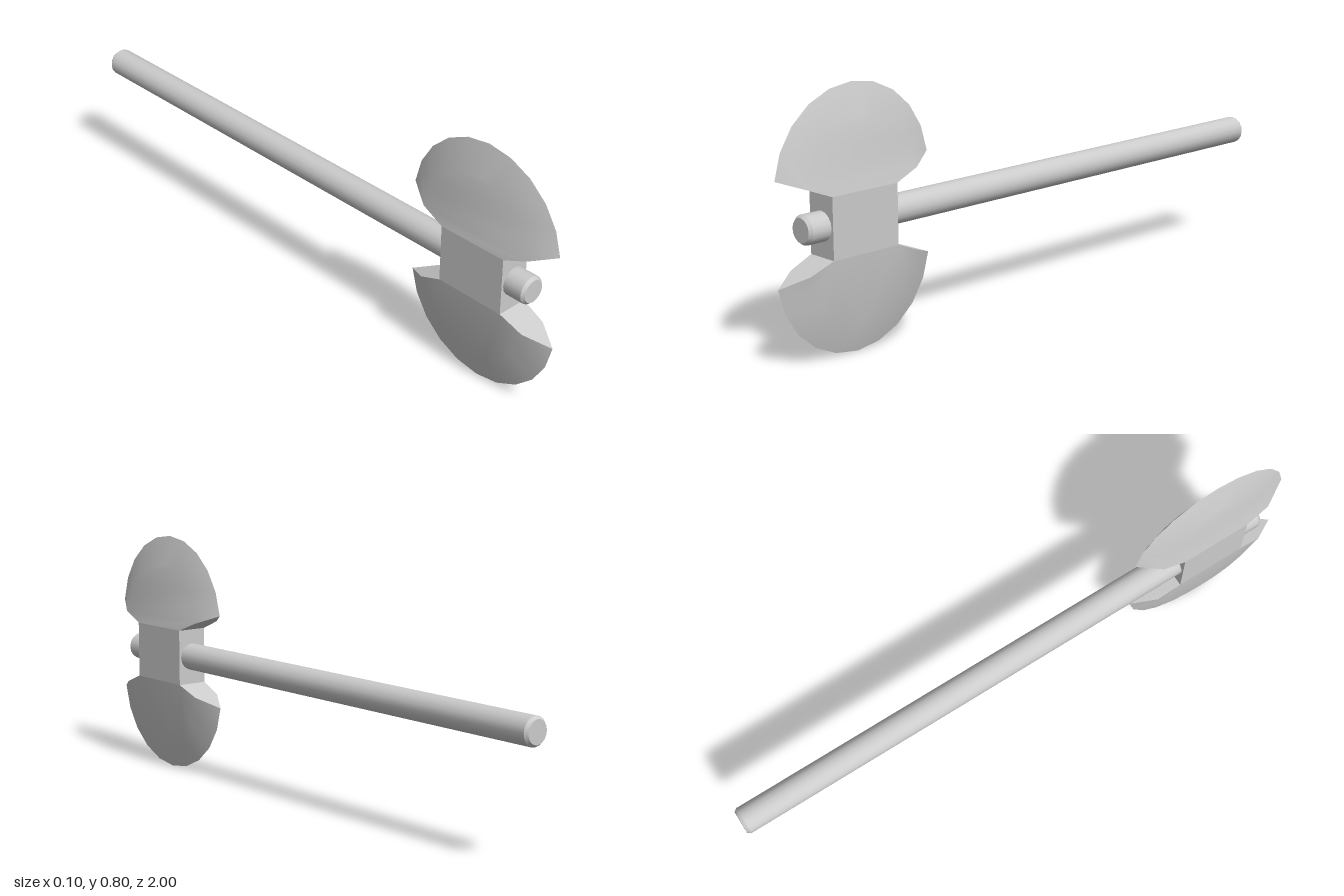
import * as THREE from 'three';
import { toCreasedNormals } from 'three/addons/utils/BufferGeometryUtils.js';

const STEPS = 10;                                   // segments along each blade arc
const NECK = { x: 0.052, y: 0.0935, z: 0.12 };      // half sizes of the central block
const RING_X = [0.046, 0.037, 0.035, 0.033, 0.031, 0.03]; // half thickness where the bevel starts

// Point on an arc that runs from the front horn over the top to the back horn
function arcPoint(i, radius, centreY, x) {
  const start = 0.128;
  const a = start + (Math.PI - 2 * start) * i / STEPS;
  return [x, centreY + radius * Math.sin(a), radius * Math.cos(a)];
}

// One crescent blade; dir = 1 points up, -1 points down
function bladeGeometry(dir) {
  const pos = [];
  const poly = (points, flip) => {
    const p = flip ? [...points].reverse() : points;
    for (let i = 1; i < p.length - 1; i++) {
      for (const v of [p[0], p[i], p[i + 1]]) pos.push(v[0], v[1] * dir, v[2]);
    }
  };
  const outer = [];
  for (let i = 0; i <= STEPS; i++) outer.push(arcPoint(i, 0.282, 0.12, 0));
  const rings = {}, necks = {};

  for (const side of [1, -1]) {
    const flip = side * dir < 0;
    const ring = [];
    for (let i = 0; i <= STEPS; i++) {
      ring.push(arcPoint(i, 0.2016, 0.1, side * RING_X[Math.min(i, STEPS - i)]));
    }
    const front = [side * NECK.x, NECK.y, NECK.z];
    const back = [side * NECK.x, NECK.y, -NECK.z];
    rings[side] = ring;
    necks[side] = [front, back];

    // sharpened bevel
    for (let i = 0; i < STEPS; i++) {
      poly([ring[i], ring[i + 1], outer[i + 1], outer[i]], flip);
    }
    // cheek: level strips on the upper blade, a flat fan on the lower one
    const mid = STEPS / 2;
    if (dir > 0) {
      poly([front, back, ring[STEPS], ring[0]], flip);
      for (let i = 0; i < mid - 1; i++) {
        poly([ring[i], ring[STEPS - i], ring[STEPS - i - 1], ring[i + 1]], flip);
      }
      poly([ring[mid - 1], ring[mid + 1], ring[mid]], flip);
    } else {
      poly([front, back, ring[mid]], flip);
      for (let i = 0; i < STEPS; i++) {
        poly([i < mid ? front : back, ring[i + 1], ring[i]], flip);
      }
    }
  }

  // flat undersides of the horns
  [0, STEPS].forEach((i, end) => {
    poly([necks[-1][end], necks[1][end], rings[1][i], outer[i], rings[-1][i]],
      (end ? -1 : 1) * dir < 0);
  });

  const geo = new THREE.BufferGeometry();
  geo.setAttribute('position', new THREE.Float32BufferAttribute(pos, 3));
  return toCreasedNormals(geo, 0.5);
}

export function createModel() {
  const model = new THREE.Group();
  model.name = 'doubleBladedAxe';
  const material = new THREE.MeshStandardMaterial({ color: 0xcccccc });
  const add = (parent, name, geometry) => {
    const mesh = new THREE.Mesh(geometry, material);
    mesh.name = name;
    parent.add(mesh);
    return mesh;
  };

  // head: central block with a blade above and below
  const head = new THREE.Group();
  head.name = 'head';
  head.position.set(0, 0.404, 0.72);
  model.add(head);
  add(head, 'neck', new THREE.BoxGeometry(2 * NECK.x, 2 * NECK.y, 2 * NECK.z));
  add(head, 'upperBlade', bladeGeometry(1));
  add(head, 'lowerBlade', bladeGeometry(-1));

  // handle: round rod with chamfered ends, laid along z
  const profile = [[0, -1], [0.037, -1], [0.045, -0.99], [0.045, 0.905], [0.037, 0.915], [0, 0.915]]
    .map(([r, h]) => new THREE.Vector2(r, h));
  const rod = toCreasedNormals(new THREE.LatheGeometry(profile, 16), 0.5);
  const handle = add(model, 'handle', rod);
  handle.rotation.x = Math.PI / 2;
  handle.position.y = 0.404;

  return model;
}
